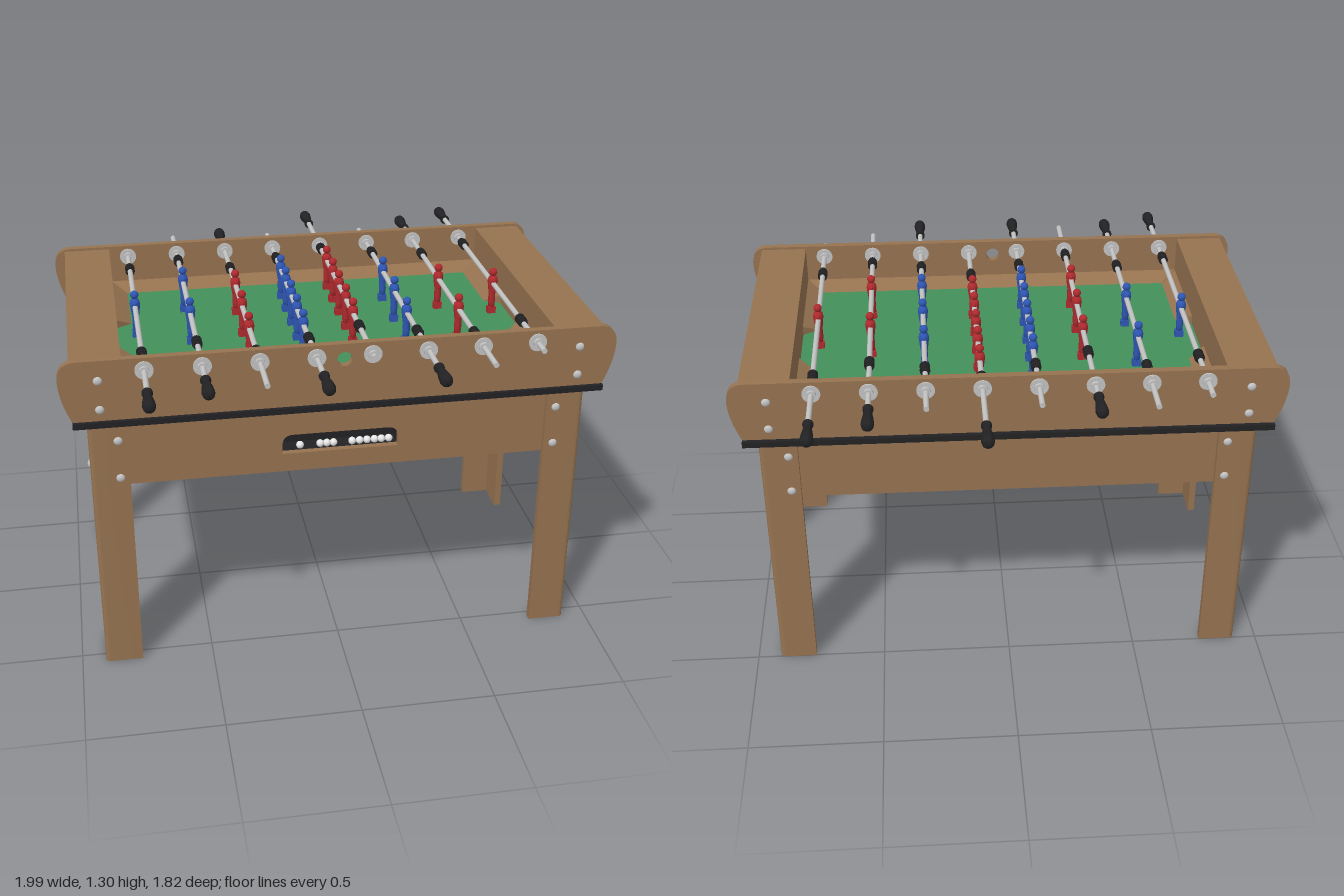
import * as THREE from 'three';
import { toCreasedNormals } from 'three/addons/utils/BufferGeometryUtils.js';
import { ConvexGeometry } from 'three/addons/geometries/ConvexGeometry.js';

const mat = (name, color) => {
  const m = new THREE.MeshStandardMaterial({ color });
  m.name = name;
  return m;
};
const CZ = 0.025;          // centre of the cabinet in z
const FIELD_Y = 1.1;       // playing surface
const ROD_Y = 1.24;

export function createModel() {
  const wood = mat('wood', 0x967350);
  const black = mat('black', 0x222224);
  const green = mat('green', 0x43915a);
  const steel = mat('steel', 0xc2c2c2);
  const red = mat('red', 0xb02a2e);
  const blue = mat('blue', 0x2f56b4);
  const white = mat('white', 0xf0f0f0);

  const model = new THREE.Group();
  model.name = 'footballTable';

  const add = (name, geo, material, x = 0, y = 0, z = 0, parent = model) => {
    const mesh = new THREE.Mesh(geo, material);
    mesh.name = name;
    mesh.position.set(x, y, z);
    parent.add(mesh);
    return mesh;
  };
  // box given by its limits
  const box = (name, material, x0, x1, y0, y1, z0, z1) =>
    add(name, new THREE.BoxGeometry(x1 - x0, y1 - y0, z1 - z0), material, (x0 + x1) / 2, (y0 + y1) / 2, (z0 + z1) / 2);
  const extrude = (shape, depth) =>
    toCreasedNormals(new THREE.ExtrudeGeometry(shape, { depth, bevelEnabled: false, curveSegments: 10 }), 0.6);
  const alongZ = (r, len, seg = 16) => new THREE.CylinderGeometry(r, r, len, seg).rotateX(Math.PI / 2);
  const sides = [-1, 1];

  // Legs: angle profiles with a rounded outer corner
  for (const sx of sides) for (const sz of sides) {
    const p = (x, z) => [sx * x, -sz * z];
    const s = new THREE.Shape();
    s.moveTo(...p(0.77, 0.527));
    s.lineTo(...p(0.89, 0.527));
    s.quadraticCurveTo(...p(0.91, 0.527), ...p(0.91, 0.507));
    s.lineTo(...p(0.91, 0.361));
    s.lineTo(...p(0.883, 0.361));
    s.lineTo(...p(0.883, 0.5));
    s.lineTo(...p(0.77, 0.5));
    s.closePath();
    add('leg', extrude(s, 1.04).rotateX(-Math.PI / 2), wood, 0, 0, CZ);
  }

  // Apron: front board with the ball return slot, three plain boards, black floor
  const front = new THREE.Shape();
  front.moveTo(-0.885, 0.76);
  front.lineTo(0.885, 0.76);
  front.lineTo(0.885, 1.04);
  front.lineTo(-0.885, 1.04);
  front.closePath();
  const slot = new THREE.Path();
  slot.moveTo(-0.215, 0.832);
  slot.lineTo(-0.215, 0.87);
  slot.quadraticCurveTo(-0.213, 0.908, -0.175, 0.908);
  slot.lineTo(0.175, 0.908);
  slot.quadraticCurveTo(0.213, 0.908, 0.215, 0.87);
  slot.lineTo(0.215, 0.832);
  slot.closePath();
  front.holes.push(slot);
  add('frontApron', extrude(front, 0.025), wood, 0, 0, CZ + 0.48);
  box('backApron', wood, -0.885, 0.885, 0.76, 1.04, CZ - 0.505, CZ - 0.48);
  for (const s of sides)
    add('sideApron', new THREE.BoxGeometry(0.025, 0.28, 0.96), wood, s * 0.8725, 0.9, CZ);
  box('cabinetFloor', black, -0.86, 0.86, 0.78, 0.8, CZ - 0.48, CZ + 0.48);

  // Ball tray behind the slot
  box('trayBack', black, -0.23, 0.23, 0.81, 0.93, CZ + 0.4, CZ + 0.41);
  box('trayFloor', black, -0.23, 0.23, 0.81, 0.83, CZ + 0.41, CZ + 0.48);
  box('trayTop', black, -0.23, 0.23, 0.91, 0.93, CZ + 0.41, CZ + 0.48);
  for (const s of sides)
    add('trayEnd', new THREE.BoxGeometry(0.012, 0.12, 0.07), black, s * 0.224, 0.87, CZ + 0.445);
  for (const x of [-0.145, -0.07, -0.045, -0.02, 0.05, 0.078, 0.106, 0.134, 0.16, 0.188])
    add('ball', new THREE.SphereGeometry(0.0145, 14, 10), white, x, 0.845, CZ + 0.468);

  // Black trim band below the playing box
  box('trimBand', black, -0.957, 0.957, 1.035, 1.057, CZ - 0.59, CZ + 0.586);

  // Long side panels with rounded shoulders; the front one has the ball entry hole
  for (const s of sides) {
    const p = new THREE.Shape();
    p.moveTo(-0.955, 1.055);
    p.lineTo(0.955, 1.055);
    p.quadraticCurveTo(0.995, 1.14, 0.997, 1.21);
    p.quadraticCurveTo(0.997, 1.285, 0.93, 1.285);
    p.lineTo(-0.93, 1.285);
    p.quadraticCurveTo(-0.997, 1.285, -0.997, 1.21);
    p.quadraticCurveTo(-0.995, 1.14, -0.955, 1.055);
    if (s > 0) {
      const hole = new THREE.Path();
      hole.absarc(0, 1.227, 0.027, 0, Math.PI * 2, true);
      p.holes.push(hole);
    }
    add(s > 0 ? 'frontPanel' : 'backPanel', extrude(p, 0.028), wood, 0, 0, CZ + s * 0.558 - 0.014);
  }

  // End boxes, field and sloped borders with a goal gap at each end
  for (const s of sides)
    add('endBox', new THREE.BoxGeometry(0.18, 0.22, 1.09), wood, s * 0.865, 1.165, CZ);
  box('field', green, -0.776, 0.776, 1.05, FIELD_Y, CZ - 0.545, CZ + 0.545);
  const hi = FIELD_Y + 0.035, lo = FIELD_Y - 0.002;
  const hull = (pts) => new ConvexGeometry(pts.map((q) => new THREE.Vector3(...q)));
  for (const s of sides) {
    add('longBorder', hull([
      [-0.71, lo, s * 0.485], [0.71, lo, s * 0.485], [-0.775, lo, s * 0.545],
      [0.775, lo, s * 0.545], [-0.775, hi, s * 0.545], [0.775, hi, s * 0.545],
    ]), wood, 0, 0, CZ);
    for (const t of sides)
      add('endBorder', hull([
        [s * 0.71, lo, t * 0.165], [s * 0.71, lo, t * 0.485], [s * 0.775, lo, t * 0.125],
        [s * 0.775, hi, t * 0.125], [s * 0.775, lo, t * 0.545], [s * 0.775, hi, t * 0.545],
      ]), wood, 0, 0, CZ - 0.003);
  }

  // Bolt heads on legs and panels
  const bolt = (x, y, z, axis) => {
    const b = add('bolt', new THREE.SphereGeometry(0.016, 14, 10), steel, x, y, z);
    b.scale[axis] = 0.6;
  };
  for (const sx of sides) for (const sz of sides) {
    for (const y of [0.8, 0.95]) {
      bolt(sx * 0.805, y, CZ + sz * 0.527, 'z');
      bolt(sx * 0.91, y, CZ + sz * 0.4, 'x');
    }
    for (const y of [1.1, 1.21]) bolt(sx * 0.86, y, CZ + sz * 0.572, 'z');
  }

  // Player figure
  const lathe = (pts, seg) => new THREE.LatheGeometry(pts.map((q) => new THREE.Vector2(...q)), seg);
  const bodyGeo = lathe([[0, 1.135], [0.011, 1.137], [0.014, 1.165], [0.013, 1.195], [0.017, 1.225],
    [0.02, 1.25], [0.017, 1.264], [0.008, 1.27], [0.007, 1.278]], 14);
  const headGeo = new THREE.SphereGeometry(0.016, 14, 10);
  const armGeo = new THREE.CapsuleGeometry(0.006, 0.045, 3, 8);
  const footGeo = new THREE.BoxGeometry(0.032, 0.026, 0.026);
  const figure = (x, z, m) => {
    const g = new THREE.Group();
    g.name = 'player';
    g.position.set(x, 0, z);
    add('body', bodyGeo, m, 0, 0, 0, g);
    add('head', headGeo, m, 0, 1.285, 0, g);
    add('foot', footGeo, m, 0, 1.128, 0, g);
    for (const s of sides) add('arm', armGeo, m, 0, 1.232, s * 0.02, g);
    model.add(g);
  };

  // Handle profile, running outwards from the rod
  const handleGeo = toCreasedNormals(lathe([[0, 0], [0.019, 0], [0.019, 0.009], [0.015, 0.013], [0.016, 0.04],
    [0.021, 0.075], [0.023, 0.1], [0.021, 0.115], [0.013, 0.123], [0, 0.125]], 18).rotateX(Math.PI / 2), 0.7);

  // Rods: x, sliding offset, handle side, team, player positions
  const rods = [
    [-0.7, 0.048, 1, blue, [0.02]],
    [-0.5, -0.017, 1, blue, [-0.2, 0.12]],
    [-0.3, 0.1, -1, red, [-0.135, 0.08, 0.295]],
    [-0.1, 0.018, 1, blue, [-0.27, -0.135, 0.005, 0.15, 0.3]],
    [0.1, -0.063, -1, red, [-0.34, -0.2, -0.065, 0.08, 0.225]],
    [0.3, 0.018, 1, blue, [-0.18, 0.035, 0.25]],
    [0.5, 0.068, -1, red, [-0.065, 0.25]],
    [0.7, -0.017, -1, red, [0.015]],
  ];
  for (const [x, off, side, team, players] of rods) {
    add('rod', alongZ(0.01, 1.46), steel, x, ROD_Y, off + side * 0.035);
    const handle = add('handle', handleGeo, black, x, ROD_Y, off + side * 0.727);
    if (side < 0) handle.rotation.y = Math.PI;
    for (const z of players) figure(x, z, team);
    for (const s of sides) {
      // rubber bumper: sleeve with a collar at each end
      add('bumper', alongZ(0.015, 0.055), black, x, ROD_Y, off + s * 0.42);
      for (const d of [-0.021, 0.006])
        add('bumperCollar', alongZ(0.019, 0.013), black, x, ROD_Y, off + s * (0.42 + d));
      // bearing through the panel, with a bolted flange on each face
      add('bearing', alongZ(0.018, 0.065), steel, x, ROD_Y, CZ + s * 0.558);
      for (const d of [-0.017, 0.017]) {
        add('bearingFlange', alongZ(0.033, 0.007, 20), steel, x, ROD_Y, CZ + s * (0.558 + d));
        for (let i = 0; i < 3; i++) {
          const a = Math.PI / 2 + i * Math.PI * 2 / 3;
          add('flangeScrew', alongZ(0.005, 0.014, 8), steel,
            x + Math.cos(a) * 0.025, ROD_Y + Math.sin(a) * 0.025, CZ + s * (0.558 + d));
        }
      }
    }
  }
  return model;
}
